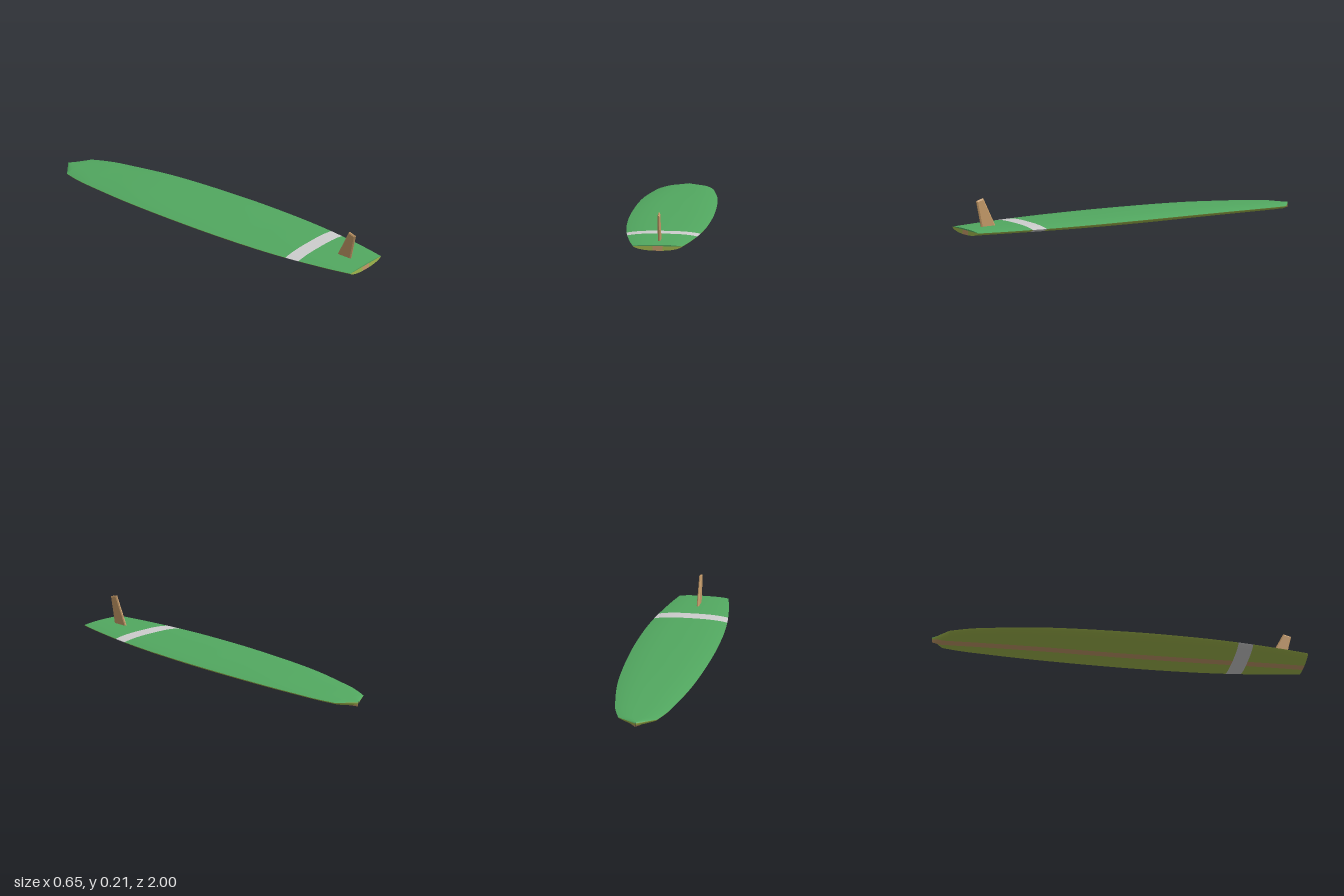
import * as THREE from 'three';

// Stations along the board: s (nose to tail), half width, rail height, deck height, bottom height
const STATIONS = [
  [-1.025, 0.002, 0.024, 0.029, 0.001],
  [-0.951, 0.106, 0.027, 0.036, 0.004],
  [-0.87, 0.134, 0.032, 0.042, 0.006],
  [-0.79, 0.153, 0.036, 0.047, 0.008],
  [-0.45, 0.201, 0.047, 0.062, 0.013],
  [0, 0.222, 0.052, 0.067, 0.014],
  [0.35, 0.217, 0.053, 0.067, 0.018],
  [0.6, 0.198, 0.053, 0.066, 0.023],
  [0.85, 0.161, 0.053, 0.063, 0.027],
  [0.99, 0.132, 0.053, 0.06, 0.028],
];
const NOSE = -1.025, CORNER = -0.951, BAND0 = 0.601, BAND1 = 0.682, TAIL = 0.99;
const STRINGER_HALF = 0.027;

// Smooth value of one station column; straight between tip and nose corners
function at(s, k) {
  let i = 0;
  while (i < STATIONS.length - 2 && s > STATIONS[i + 1][0]) i++;
  const a = STATIONS[i], b = STATIONS[i + 1], h = b[0] - a[0], t = (s - a[0]) / h;
  if (i === 0) return a[k] + (b[k] - a[k]) * t;
  const slope = (j) => {
    const p = STATIONS[Math.max(j - 1, 1)], q = STATIONS[Math.min(j + 1, STATIONS.length - 1)];
    return (q[k] - p[k]) / (q[0] - p[0]);
  };
  const t2 = t * t, t3 = t2 * t;
  return (2 * t3 - 3 * t2 + 1) * a[k] + (t3 - 2 * t2 + t) * h * slope(i)
    + (3 * t2 - 2 * t3) * b[k] + (t3 - t2) * h * slope(i + 1);
}

const deckY = (s, u) => at(s, 2) + (at(s, 3) - at(s, 2)) * (1 - Math.abs(u) ** 3);
const hullY = (s, u) =>
  at(s, 2) - (at(s, 2) - at(s, 4)) * Math.pow(Math.max(0, 1 - Math.abs(u) ** 2.4), 0.65);
const stringerAngle = (s) => Math.asin(Math.min(0.9, STRINGER_HALF / at(s, 1)));

// Surface patch from a rule f(u, v) -> [x, y, z]
function patch(f, nu, nv) {
  const pos = [], idx = [];
  for (let j = 0; j <= nv; j++) for (let i = 0; i <= nu; i++) pos.push(...f(i / nu, j / nv));
  for (let j = 0; j < nv; j++) for (let i = 0; i < nu; i++) {
    const a = j * (nu + 1) + i, c = a + nu + 1;
    idx.push(a, c, a + 1, a + 1, c, c + 1);
  }
  const g = new THREE.BufferGeometry();
  g.setAttribute('position', new THREE.Float32BufferAttribute(pos, 3));
  g.setIndex(idx);
  g.computeVertexNormals();
  return g;
}

export function createModel() {
  const mat = (name, color) => {
    const m = new THREE.MeshStandardMaterial({ color });
    m.name = name;
    return m;
  };
  const green = mat('deckGreen', 0x52a860);
  const olive = mat('hullOlive', 0xa0b64c);
  const wood = mat('wood', 0xc49a68);
  const grey = mat('bandGrey', 0xcdcdcd);

  const model = new THREE.Group();
  model.name = 'surfboard';
  const board = new THREE.Group();
  board.name = 'board';
  board.rotation.y = 0.208;
  board.position.set(-0.0137, 0, 0.003);
  model.add(board);
  const add = (name, geometry, material) => {
    const m = new THREE.Mesh(geometry, material);
    m.name = name;
    board.add(m);
    return m;
  };

  // Angle limits across the board
  const left = () => Math.PI / 2, right = () => -Math.PI / 2;
  const innerLeft = stringerAngle, innerRight = (s) => -stringerAngle(s);

  // Lengthwise skin between two stations and two angle limits
  const skin = (heightAt, s0, s1, from, to, nu, nv) => patch((i, j) => {
    const s = s0 + (s1 - s0) * j;
    const u = Math.sin(from(s) + (to(s) - from(s)) * i);
    return [u * at(s, 1), heightAt(s, u), s];
  }, nu, nv);

  // Deck, hull sides, stringer and the band that wraps around
  const spans = [['nose', NOSE, CORNER, 3], ['main', CORNER, BAND0, 48], ['tail', BAND1, TAIL, 12]];
  for (const [part, s0, s1, n] of spans) {
    add(part + 'Deck', skin(deckY, s0, s1, right, left, 24, n), green);
    add(part + 'HullLeft', skin(hullY, s0, s1, left, innerLeft, 14, n), olive);
    add(part + 'Stringer', skin(hullY, s0, s1, innerLeft, innerRight, 4, n), wood);
    add(part + 'HullRight', skin(hullY, s0, s1, innerRight, right, 14, n), olive);
  }
  add('bandTop', skin(deckY, BAND0, BAND1, right, left, 24, 4), grey);
  add('bandBottom', skin(hullY, BAND0, BAND1, left, right, 28, 4), grey);

  // Flat tail end
  const cap = (upper, lower, from, to) => patch((i, j) => {
    const u = Math.sin(from(TAIL) + (to(TAIL) - from(TAIL)) * i);
    return [u * at(TAIL, 1), upper(TAIL, u) * (1 - j) + lower(TAIL, u) * j, TAIL];
  }, 14, 1);
  const railY = (s) => at(s, 2);
  add('tailEndDeck', cap(deckY, railY, right, left), green);
  add('tailEndRight', cap(railY, hullY, right, innerRight), olive);
  add('tailEndStringer', cap(railY, hullY, innerRight, innerLeft), wood);
  add('tailEndLeft', cap(railY, hullY, innerLeft, left), olive);

  // Swept fin with chamfered edges; shape drawn as (-s, y), then turned upright along the board
  const finShape = new THREE.Shape([
    new THREE.Vector2(-0.883, 0.055), new THREE.Vector2(-0.806, 0.055),
    new THREE.Vector2(-0.883, 0.207), new THREE.Vector2(-0.914, 0.198),
  ]);
  const finGeo = new THREE.ExtrudeGeometry(finShape, {
    depth: 0.005, bevelEnabled: true, bevelSize: 0.007, bevelThickness: 0.004, bevelSegments: 1,
  });
  finGeo.translate(0, 0, -0.0025);
  finGeo.rotateY(Math.PI / 2);
  add('fin', finGeo, wood);

  return model;
}
